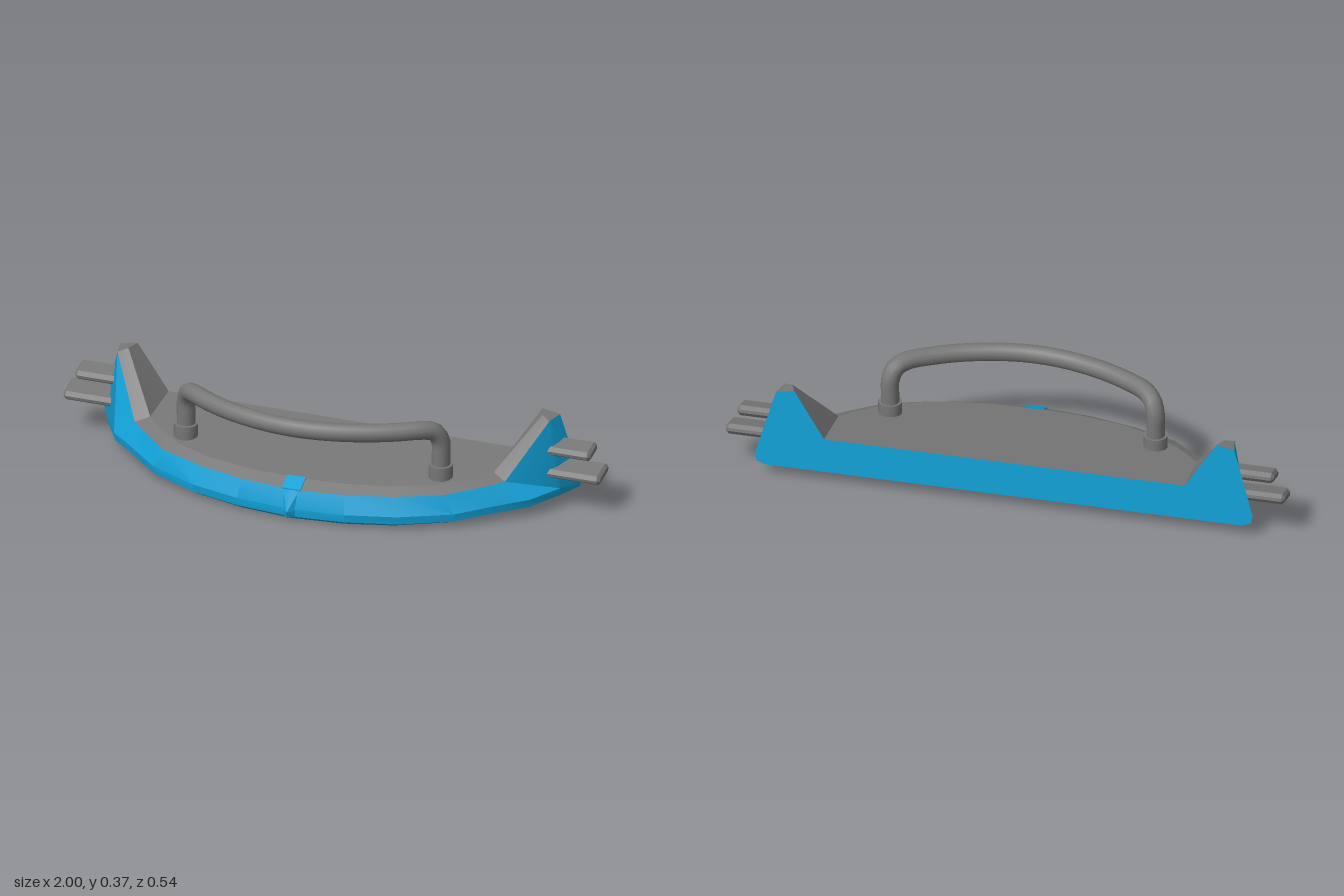
import * as THREE from 'three';
import { toCreasedNormals } from 'three/addons/utils/BufferGeometryUtils.js';
import { ConvexGeometry } from 'three/addons/geometries/ConvexGeometry.js';

const blue = new THREE.MeshStandardMaterial({ color: 0x11a0d6 });
const grey = new THREE.MeshStandardMaterial({ color: 0x777777 });
blue.name = 'blue shell';
grey.name = 'grey trim';

// Half rows (x, y, z) run from the left rear corner to the bow centre
const backZ = (y) => -0.273 + 0.084 * y;
const bottomY = (z) => (0.23 - z) * 0.084;
const waist = [[0.89, -0.263], [0.845, -0.18], [0.775, -0.07], [0.7, -0.01], [0.56, 0.11], [0.38, 0.19], [0.2, 0.232], [0, 0.25]];
const inset = (k, dz, dy) => waist.map(([x, z], i) => {
  const zz = i ? z + dz : backZ(bottomY(z) + dy);
  return [x * k, bottomY(z) + dy, zz];
});
const rimXZ = [[0.69, -0.05], [0.635, 0.005], [0.52, 0.105], [0.36, 0.168], [0.19, 0.21], [0, 0.228]];
const deckXZ = [[0.64, -0.07], [0.58, -0.005], [0.475, 0.078], [0.33, 0.138], [0.17, 0.168], [0, 0.178]];
const rim = [[0.82, 0.328, -0.245], [0.805, 0.325, -0.18], ...rimXZ.map(([x, z]) => [x, 0.126 - 0.09 * z, z])];
const deckEdge = [[0.755, 0.34, -0.245], [0.772, 0.336, -0.2], ...deckXZ.map(([x, z]) => [x, 0.145 - 0.087 * z, z])];

const flip = ([x, y, z]) => [-x, y, z];
const full = (half) => [...half, ...half.slice(0, -1).reverse().map(flip)];

function facesToMesh(name, points, material) {
  const geo = new THREE.BufferGeometry();
  geo.setAttribute('position', new THREE.Float32BufferAttribute(points.flat(), 3));
  const mesh = new THREE.Mesh(toCreasedNormals(geo, 0.45), material);
  mesh.name = name;
  return mesh;
}
const quad = (list, a, b, c, d) => list.push(a, b, c, a, c, d);
function strip(list, low, high) {
  for (let i = 0; i < low.length - 1; i++) quad(list, low[i], high[i], high[i + 1], low[i + 1]);
}
function fan(list, hub, row, reverse) {
  for (let i = 0; i < row.length - 1; i++) {
    if (reverse) list.push(hub, row[i + 1], row[i]);
    else list.push(hub, row[i], row[i + 1]);
  }
}

function buildHull(group) {
  const bottom = full(inset(0.955, -0.02, 0));
  const lower = full(inset(0.995, -0.003, 0.013));
  const middle = full(inset(1, 0, 0.042));
  const rims = full(rim), edge = full(deckEdge), n = edge.length;
  const heel = [0.645, 0.167, backZ(0.167)], heel2 = flip(heel);

  // Outer wall, underside and flat stern
  const wall = [], under = [], stern = [];
  strip(wall, bottom, lower);
  strip(wall, lower, middle);
  strip(wall, middle, rims);
  fan(under, [0, 0.042, -0.2695], bottom, false);
  const side = [edge[0], rims[0], middle[0], lower[0], bottom[0]];
  fan(stern, heel, side, false);
  fan(stern, heel2, side.map(flip), true);
  quad(stern, heel, bottom[0], bottom[n - 1], heel2);
  group.add(facesToMesh('hullWall', wall, blue), facesToMesh('underside', under, blue), facesToMesh('stern', stern, blue));

  // Grey bevel rising over the horns, inner horn faces and deck
  const bevel = [], inner = [], deck = [];
  strip(bevel, rims, edge);
  quad(inner, edge[0], heel, edge[2], edge[1]);
  quad(inner, edge[n - 2], edge[n - 3], heel2, edge[n - 1]);
  fan(deck, [0, 0.167, heel[2]], [heel, ...edge.slice(2, n - 2), heel2], true);
  group.add(facesToMesh('rimBevel', bevel, grey), facesToMesh('hornInnerFaces', inner, grey), facesToMesh('deck', deck, grey));
}

function convex(name, points, material) {
  const mesh = new THREE.Mesh(new ConvexGeometry(points.map((p) => new THREE.Vector3(...p))), material);
  mesh.name = name;
  return mesh;
}

// Chamfered bar lying along x
function finGeometry(length, width, thick) {
  const bev = 0.01, w = width / 2 - bev, h = thick / 2 - bev, c = 0.007;
  const shape = new THREE.Shape([
    [-w + c, -h], [w - c, -h], [w, -h + c], [w, h - c], [w - c, h], [-w + c, h], [-w, h - c], [-w, -h + c],
  ].map(([x, y]) => new THREE.Vector2(x, y)));
  const geo = new THREE.ExtrudeGeometry(shape, {
    depth: length - 2 * bev, bevelEnabled: true, bevelSize: bev, bevelThickness: bev, bevelSegments: 1,
  });
  return geo.center().rotateY(Math.PI / 2);
}

export function createModel() {
  const group = new THREE.Group();
  group.name = 'bowPlatform';
  buildHull(group);

  // Bow ridge and the small blue tab above it
  const ridge = [[0, 0.012, 0.263], [0, 0.035, 0.27], [0, 0.105, 0.232]];
  for (const s of [-1, 1]) ridge.push([s * 0.03, 0.01, 0.238], [s * 0.03, 0.036, 0.24], [s * 0.03, 0.105, 0.222]);
  group.add(convex('bowRidge', ridge, blue));
  const tab = [];
  for (const s of [-0.035, 0.035]) {
    for (const d of [0, 0.005]) tab.push([s, 0.104 + d, 0.229], [s, 0.129 + d, 0.172]);
  }
  group.add(convex('bowTab', tab, blue));

  // Curved grab handle
  const half = [[0.475, 0.15, 0.01], [0.475, 0.22, 0.01], [0.474, 0.28, 0.012], [0.458, 0.318, 0.03],
    [0.425, 0.331, 0.062], [0.35, 0.332, 0.11], [0.25, 0.332, 0.157], [0.12, 0.332, 0.194], [0, 0.332, 0.206]];
  const path = new THREE.CatmullRomCurve3(full(half).map((p) => new THREE.Vector3(...p)));
  const handle = new THREE.Mesh(new THREE.TubeGeometry(path, 56, 0.033, 12), grey);
  handle.name = 'handle';
  group.add(handle);

  for (const s of [-1, 1]) {
    const sideName = s > 0 ? 'left' : 'right';
    // Handle socket
    const collar = new THREE.Mesh(toCreasedNormals(new THREE.CylinderGeometry(0.043, 0.043, 0.07, 12), 0.7), grey);
    collar.name = sideName + 'HandleSocket';
    collar.position.set(s * 0.475, 0.155, 0.012);
    group.add(collar);

    // Pair of side fins, tilted up toward the rear
    for (const [label, tip, y, z, width] of [['Upper', 0.96, 0.222, -0.207, 0.088], ['Lower', 1, 0.143, -0.205, 0.103]]) {
      const root = 0.78;
      const fin = new THREE.Mesh(finGeometry(tip - root, width, 0.037), grey);
      fin.name = sideName + label + 'Fin';
      fin.position.set(s * (tip + root) / 2, y, z);
      fin.rotation.x = 0.24;
      group.add(fin);
    }
  }
  return group;
}
